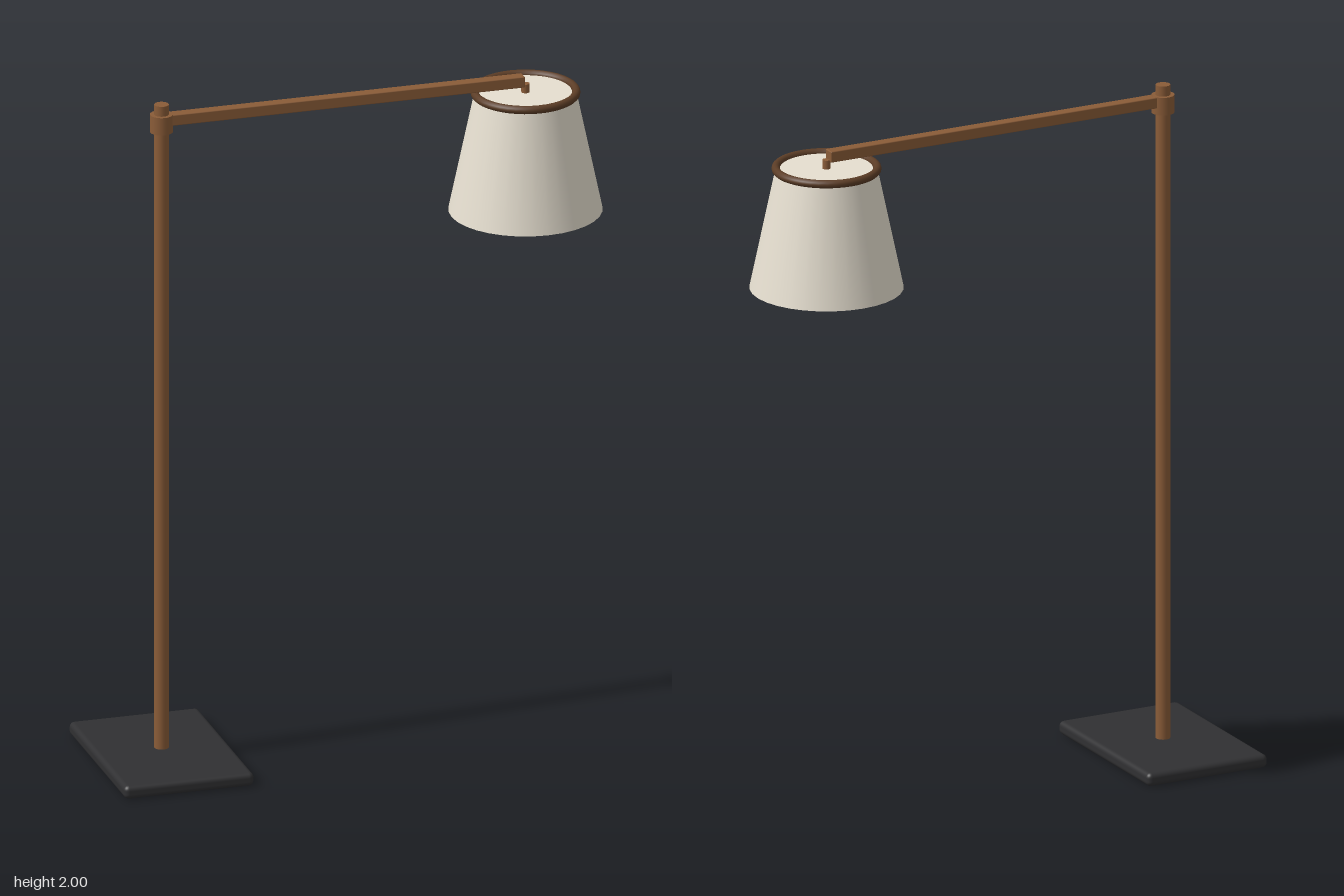
import * as THREE from 'three';
import { RoundedBoxGeometry } from 'three/addons/geometries/RoundedBoxGeometry.js';

const POLE_X = -0.557;
const SHADE_X = 0.526;

export function createModel() {
  const lamp = new THREE.Group();
  lamp.name = 'floorLamp';

  const wood = new THREE.MeshStandardMaterial({ color: 0x8a5c38 });
  const darkWood = new THREE.MeshStandardMaterial({ color: 0x5c3d26 });
  const iron = new THREE.MeshStandardMaterial({ color: 0x303032 });
  const linen = new THREE.MeshStandardMaterial({ color: 0xe6dfd0 });

  const add = (name, geometry, material, x, y) => {
    const mesh = new THREE.Mesh(geometry, material);
    mesh.name = name;
    mesh.position.set(x, y, 0);
    lamp.add(mesh);
    return mesh;
  };
  // Upright cylinder between two heights
  const rod = (name, rTop, rBottom, y0, y1, segments, material, x) =>
    add(name, new THREE.CylinderGeometry(rTop, rBottom, y1 - y0, segments), material, x, (y0 + y1) / 2);

  // Heavy slab foot with softened edges
  add('base', new RoundedBoxGeometry(0.386, 0.04, 0.554, 3, 0.015), iron, POLE_X, 0.02);

  // Pole and the collar that clamps the arm
  rod('pole', 0.021, 0.021, 0.03, 2, 24, wood, POLE_X);
  rod('collar', 0.033, 0.033, 1.917, 1.97, 24, wood, POLE_X);

  // Square arm reaching out over the shade
  const armStart = POLE_X, armEnd = 0.52;
  add('arm', new RoundedBoxGeometry(armEnd - armStart, 0.033, 0.034, 2, 0.003), wood,
    (armStart + armEnd) / 2, 1.953);

  // Short stem hanging the shade from the arm
  rod('stem', 0.012, 0.012, 1.9, 1.943, 16, wood, SHADE_X);

  // Closed tapered shade with a round trim on its upper edge
  rod('shade', 0.145, 0.22, 1.56, 1.917, 32, linen, SHADE_X);
  const trim = add('shadeTrim', new THREE.TorusGeometry(0.145, 0.012, 12, 40), darkWood, SHADE_X, 1.917);
  trim.rotation.x = Math.PI / 2;

  return lamp;
}
